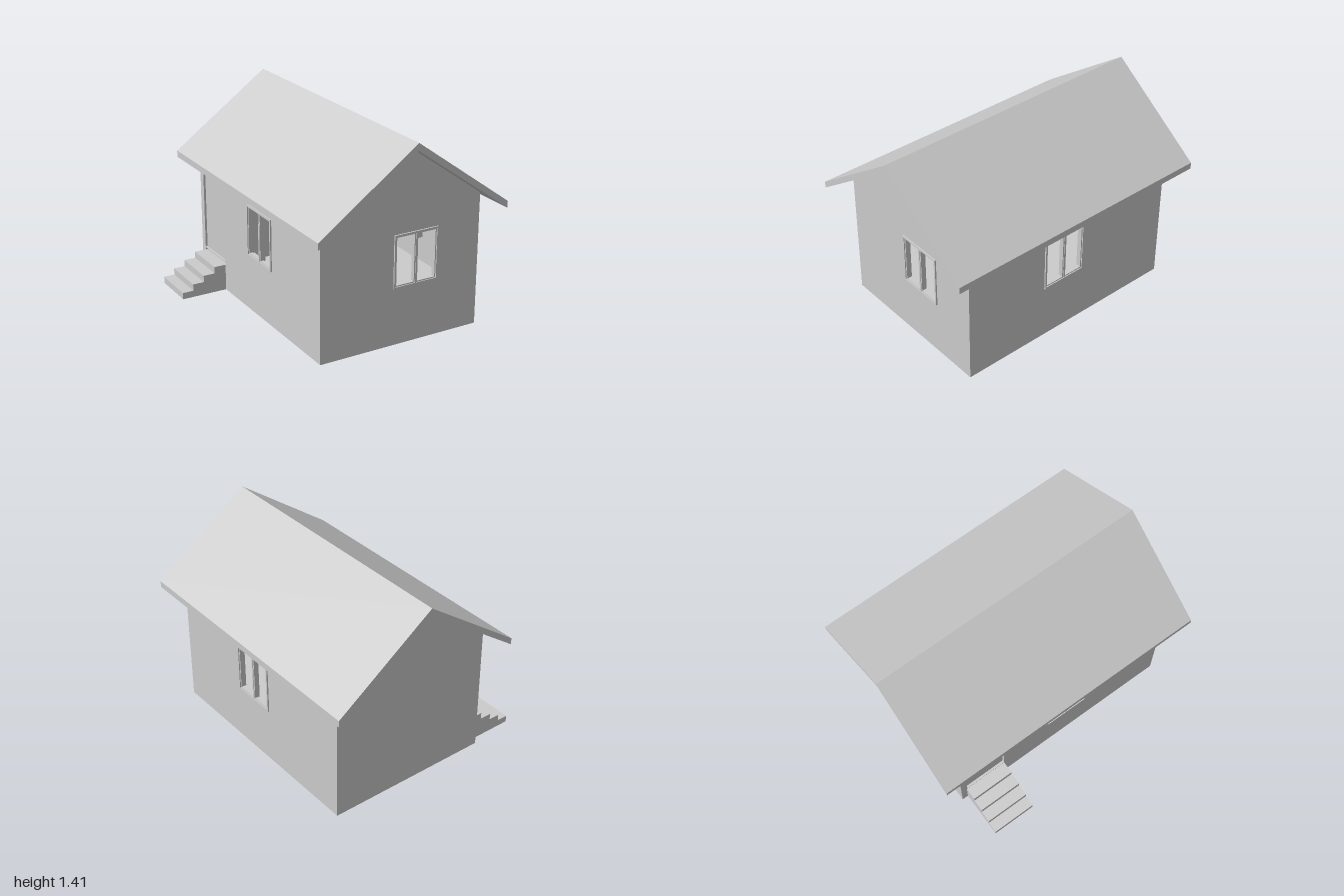
import * as THREE from 'three';

const material = new THREE.MeshStandardMaterial({ color: 0xcccccc, flatShading: true, side: THREE.DoubleSide });

const LEFT = 0.715, RIGHT = -0.485, MID = 0.115, END = 0.845; // wall planes, ridge, gable ends
const EAVE = 0.935, APEX = 1.365, FLOOR = 0.21;
const WIN_W = 0.335, WIN_Y0 = 0.4, WIN_Y1 = 0.77;

function polygon(points) {
  return new THREE.Shape(points.map(([x, y]) => new THREE.Vector2(x, y)));
}

function rect(x0, y0, x1, y1) {
  return polygon([[x0, y0], [x1, y0], [x1, y1], [x0, y1]]);
}

function withHoles(shape, ...holes) {
  shape.holes.push(...holes);
  return shape;
}

function add(parent, name, geometry, x = 0, y = 0, z = 0) {
  const mesh = new THREE.Mesh(geometry, material);
  mesh.name = name;
  mesh.position.set(x, y, z);
  parent.add(mesh);
  return mesh;
}

function extrude(shape, depth) {
  return new THREE.ExtrudeGeometry(shape, { depth, bevelEnabled: false });
}

// Rectangular ring lying in the xy plane
function ring(x0, y0, x1, y1, border, depth) {
  return extrude(withHoles(rect(x0, y0, x1, y1),
    rect(x0 + border, y0 + border, x1 - border, y1 - border)), depth);
}

// Opening for a window centred on cx
function windowHole(cx) {
  return rect(cx - WIN_W / 2 + 0.006, WIN_Y0 + 0.006, cx + WIN_W / 2 - 0.006, WIN_Y1 - 0.006);
}

// Casing, centre post and two open sashes; outward is local +z
function addWindow(parent, cx) {
  const win = new THREE.Group();
  win.name = 'window';
  win.position.x = cx;
  const w = WIN_W / 2, b = 0.012;
  add(win, 'casing', ring(-w, WIN_Y0, w, WIN_Y1, b, 0.05), 0, 0, -0.04);
  add(win, 'centrePost', new THREE.BoxGeometry(0.01, WIN_Y1 - WIN_Y0 - 2 * b, 0.045),
    0, (WIN_Y0 + WIN_Y1) / 2, -0.016);
  for (const [x0, x1] of [[-w + b, -0.005], [0.005, w - b]]) {
    add(win, 'sash', ring(x0, WIN_Y0 + b, x1, WIN_Y1 - b, 0.008, 0.025), 0, 0, -0.022);
  }
  parent.add(win);
}

// Gable outline starting at height y0
function gable(y0) {
  return polygon([[RIGHT, y0], [LEFT, y0], [LEFT, EAVE], [MID, APEX], [RIGHT, EAVE]]);
}

export function createModel() {
  const house = new THREE.Group();
  house.name = 'house';

  // Roof: a folded slab running the full length
  const roof = polygon([[-0.59, 0.86], [MID, APEX], [0.82, 0.86], [0.82, 0.907], [MID, 1.415], [-0.59, 0.907]]);
  add(house, 'roof', extrude(roof, 2), 0, 0, -1);

  // Gable walls
  const front = new THREE.Group();
  front.name = 'frontSide';
  front.position.z = END;
  add(front, 'frontWall', new THREE.ShapeGeometry(withHoles(gable(0), windowHole(0.2225))));
  addWindow(front, 0.2225);
  house.add(front);
  add(house, 'backWall', new THREE.ShapeGeometry(gable(0)), 0, 0, -END).rotation.y = 0;

  // Long walls; the right one has the doorway, open down to the ground
  const left = new THREE.Group();
  left.name = 'leftSide';
  left.position.x = LEFT;
  left.rotation.y = Math.PI / 2;
  add(left, 'leftWall', new THREE.ShapeGeometry(withHoles(rect(-END, 0, END, EAVE), windowHole(-0.05))));
  addWindow(left, -0.05);
  house.add(left);

  const right = new THREE.Group();
  right.name = 'rightSide';
  right.position.x = RIGHT;
  right.rotation.y = -Math.PI / 2;
  const doorZ0 = -0.8, doorZ1 = -0.478, doorTop = 0.83;
  const rightWall = polygon([[-END, 0], [doorZ0, 0], [doorZ0, doorTop], [doorZ1, doorTop],
    [doorZ1, 0], [END, 0], [END, EAVE], [-END, EAVE]]);
  add(right, 'rightWall', new THREE.ShapeGeometry(withHoles(rightWall, windowHole(0.05))));
  addWindow(right, 0.05);
  add(right, 'door', new THREE.BoxGeometry(doorZ1 - doorZ0, doorTop - 0.19, 0.02),
    (doorZ0 + doorZ1) / 2, (doorTop + 0.19) / 2, -0.025);
  add(right, 'doorLining', ring(doorZ0, 0.188, doorZ1, doorTop, 0.003, 0.035), 0, 0, -0.035);
  house.add(right);

  // Raised floor and inner wall with a doorway
  add(house, 'floor', new THREE.BoxGeometry(LEFT - RIGHT, 0.005, 2 * END), MID, FLOOR + 0.0025, 0);
  const base = FLOOR - 0.035;
  const partition = polygon([[RIGHT, base], [0.05, base], [0.05, 0.82], [0.38, 0.82], [0.38, base],
    [LEFT, base], [LEFT, EAVE], [MID, APEX], [RIGHT, EAVE]]);
  add(house, 'innerWall', extrude(partition, 0.03), 0, 0, -0.44);

  // Hollow steps: side plates, treads and risers
  const steps = new THREE.Group();
  steps.name = 'steps';
  const xs = [-0.82, -0.74, -0.657, -0.571, RIGHT], rise = 0.0475;
  const width = doorZ1 - doorZ0, midZ = (doorZ0 + doorZ1) / 2;
  const outline = [[RIGHT, 0], [xs[0], 0]];
  for (let i = 0; i < 4; i++) {
    const y = rise * (i + 1), run = xs[i + 1] - xs[i];
    outline.push([xs[i], y], [xs[i + 1], y]);
    add(steps, 'tread', new THREE.PlaneGeometry(run, width), xs[i] + run / 2, y, midZ).rotation.x = -Math.PI / 2;
    add(steps, 'riser', new THREE.PlaneGeometry(width, rise), xs[i], y - rise / 2, midZ).rotation.y = -Math.PI / 2;
  }
  for (const z of [doorZ0, doorZ1]) {
    add(steps, 'sidePlate', new THREE.ShapeGeometry(polygon(outline)), 0, 0, z);
  }
  house.add(steps);

  return house;
}
